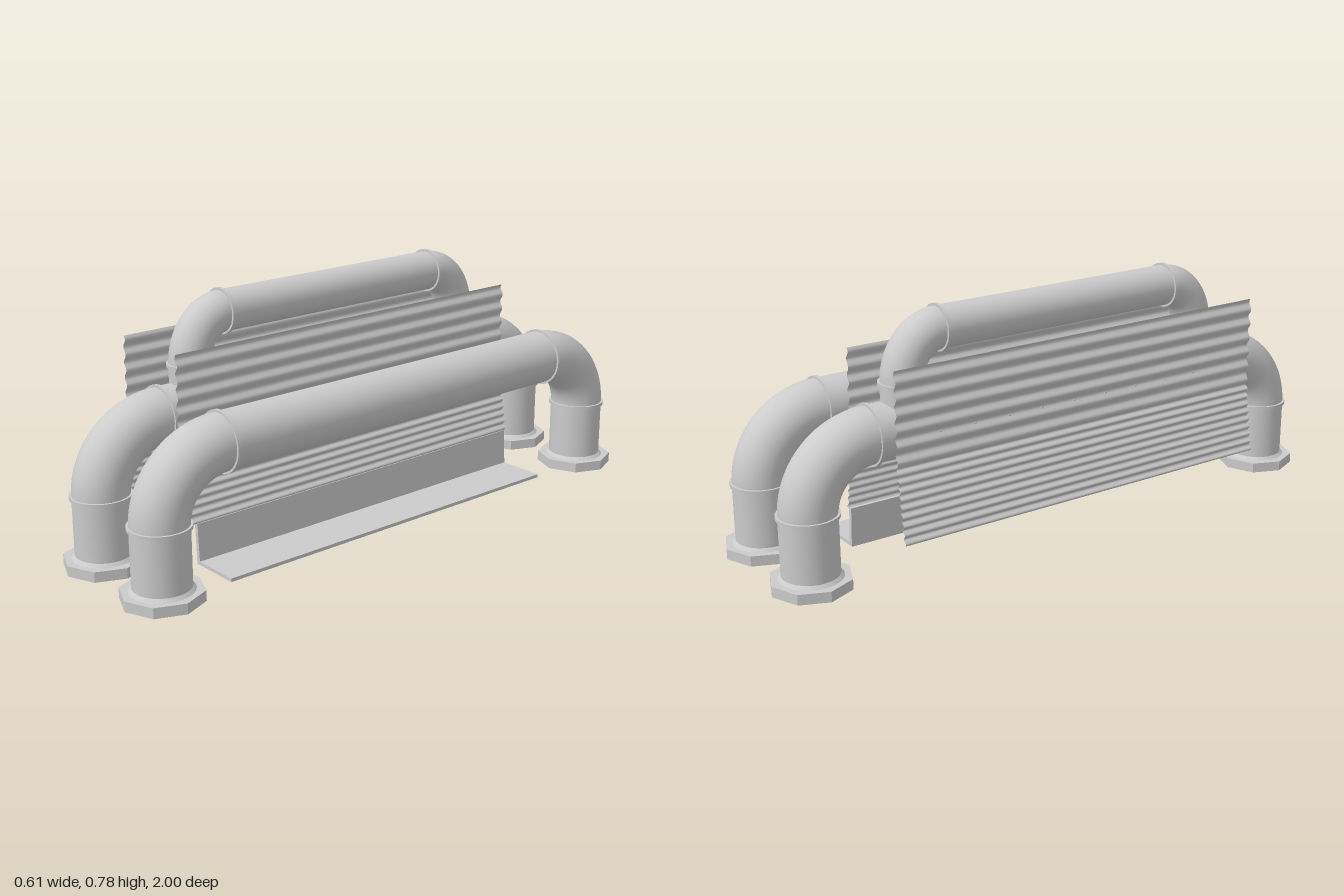
import * as THREE from 'three';

const material = new THREE.MeshStandardMaterial({ color: 0xcccccc });
const flatMaterial = new THREE.MeshStandardMaterial({ color: 0xcccccc, flatShading: true });
const sheetMaterial = new THREE.MeshStandardMaterial({ color: 0xcccccc, side: THREE.DoubleSide });

function add(parent, name, geometry, mat = material) {
  const mesh = new THREE.Mesh(geometry, mat);
  mesh.name = name;
  parent.add(mesh);
  return mesh;
}

// Quarter bend in the yz plane from a horizontal run down to an upright leg
class Bend extends THREE.Curve {
  constructor(yTop, yLow, zRun, zLeg) {
    super();
    Object.assign(this, { yTop, yLow, zRun, zLeg });
  }
  getPoint(t, target = new THREE.Vector3()) {
    const a = t * Math.PI / 2;
    return target.set(0,
      this.yLow + (this.yTop - this.yLow) * Math.cos(a),
      this.zRun + (this.zLeg - this.zRun) * Math.sin(a));
  }
}

// Arched pipe: horizontal run, two bends, two legs and a collar at each joint.
// ends lists [z of the run's joint, z of the leg] for front and back.
function archedPipe(name, { x, r, y, yJoint, yFoot, ends, flange }) {
  const pipe = new THREE.Group();
  pipe.name = name;
  pipe.position.x = x;
  const collar = new THREE.CylinderGeometry(r + 0.007, r + 0.007, 0.011, 32);
  const [front, back] = ends.map(e => e[0]);

  const run = add(pipe, 'run', new THREE.CylinderGeometry(r, r, front - back, 32, 1, true));
  run.rotation.x = Math.PI / 2;
  run.position.set(0, y, (front + back) / 2);

  for (const [zRun, zLeg] of ends) {
    add(pipe, 'bend', new THREE.TubeGeometry(new Bend(y, yJoint, zRun, zLeg), 20, r, 32));
    add(pipe, 'leg', new THREE.CylinderGeometry(r, r, yJoint - yFoot, 32, 1, true))
      .position.set(0, (yJoint + yFoot) / 2, zLeg);
    add(pipe, 'legCollar', collar).position.set(0, yJoint, zLeg);
    const runCollar = add(pipe, 'runCollar', collar);
    runCollar.rotation.x = Math.PI / 2;
    runCollar.position.set(0, y, zRun);
    if (flange) {
      // Octagonal foot with a small flare above it
      add(pipe, 'foot', new THREE.CylinderGeometry(0.126, 0.126, 0.033, 8), flatMaterial)
        .position.set(0, 0.0165, zLeg);
      add(pipe, 'footFlare', new THREE.CylinderGeometry(r, r + 0.01, 0.01, 32, 1, true))
        .position.set(0, 0.038, zLeg);
    }
  }
  return pipe;
}

// Corrugated sheet: upright with broad waves above, flaring out with fine waves below
function corrugatedSheet(length) {
  const yTop = 0.65, yKnee = 0.36, yLow = 0.13, steps = 120;
  const geometry = new THREE.PlaneGeometry(1, length, steps, 1);
  const pos = geometry.attributes.position;
  for (let i = 0; i < pos.count; i++) {
    const y = yTop - (pos.getX(i) + 0.5) * (yTop - yLow);
    const upper = y >= yKnee;
    const phase = upper ? (yTop - y) / (yTop - yKnee) * 6 : (yKnee - y) / (yKnee - yLow) * 9;
    const lean = upper ? 0 : (yKnee - y) / (yKnee - yLow) * 0.034;
    const wave = (upper ? 0.0055 : 0.005) * Math.sin(phase * Math.PI * 2);
    pos.setXYZ(i, lean - wave, y, pos.getY(i));
  }
  geometry.computeVertexNormals();
  return geometry;
}

export function createModel() {
  const model = new THREE.Group();
  model.name = 'pipeBarrier';

  // Two large arched pipes side by side
  const large = { r: 0.0875, y: 0.425, yJoint: 0.225, yFoot: 0.03,
    ends: [[0.66, 0.875], [-0.67, -0.875]], flange: true };
  model.add(archedPipe('rightPipe', { x: -0.134, ...large }));
  model.add(archedPipe('leftPipe', { x: 0.176, ...large }));

  // Smaller pipe rising from the top of the right one
  model.add(archedPipe('upperPipe', { x: -0.135, r: 0.065, y: 0.709, yJoint: 0.564, yFoot: 0.45,
    ends: [[0.425, 0.545], [-0.43, -0.555]], flange: false }));

  // Corrugated sheets mirrored on either side of the right pipe
  const sheet = corrugatedSheet(1.345);
  const leftSheet = add(model, 'leftSheet', sheet, sheetMaterial);
  leftSheet.position.set(0.008, 0, 0.0175);
  const rightSheet = add(model, 'rightSheet', sheet, sheetMaterial);
  rightSheet.position.set(-0.268, 0, 0.0175);
  rightSheet.scale.x = -1;

  // Thin rods holding the sheets
  const rod = new THREE.CylinderGeometry(0.003, 0.003, 0.27, 8);
  for (let i = 0; i < 9; i++) {
    const m = add(model, 'sheetRod', rod);
    m.rotation.z = Math.PI / 2;
    m.position.set(-0.13, 0.44, -0.505 + i * 0.12);
  }

  // Angled kerb: leaning wall with a flat ground plate
  const profile = new THREE.Shape([
    [0.038, 0], [0.21, 0], [0.21, 0.011], [0.0515, 0.011], [0.045, 0.13], [0.032, 0.13],
  ].map(p => new THREE.Vector2(...p)));
  add(model, 'kerb', new THREE.ExtrudeGeometry(profile, { depth: 1.31, bevelEnabled: false }))
    .position.z = -0.65;

  return model;
}
